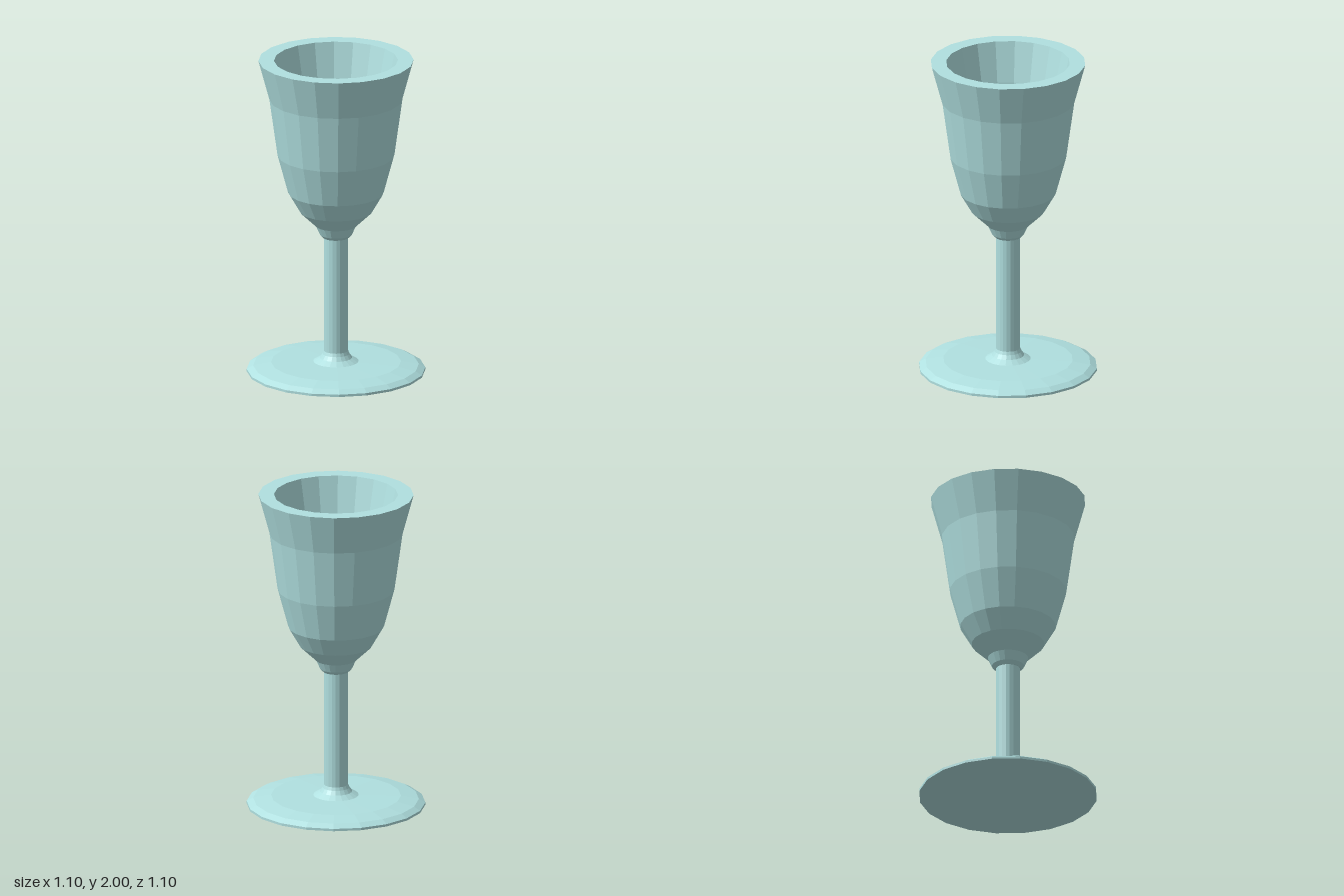
import * as THREE from 'three';

const SIDES = 20;

export function createModel() {
  const goblet = new THREE.Group();
  goblet.name = 'goblet';
  const material = new THREE.MeshStandardMaterial({ color: 0xb0e0e0, flatShading: true });

  // Faceted solid of revolution from [radius, height] pairs, outside listed bottom to top
  const turned = (name, profile) => {
    const points = profile.map(([r, y]) => new THREE.Vector2(r, y));
    const mesh = new THREE.Mesh(new THREE.LatheGeometry(points, SIDES), material);
    mesh.name = name;
    goblet.add(mesh);
  };

  // Flat foot with a bevelled edge and a small flare up to the stem
  turned('foot', [
    [0, 0], [0.55, 0], [0.55, 0.015], [0.51, 0.037], [0.4, 0.057],
    [0.14, 0.062], [0.1, 0.085], [0.083, 0.11], [0.075, 0.13],
  ]);

  // Straight stem
  turned('stem', [[0.075, 0.13], [0.075, 0.86]]);

  // Thick-walled bowl: outside, flat rim, then inside down to the floor
  turned('bowl', [
    [0, 0.86], [0.08, 0.86], [0.1, 0.88], [0.125, 0.935], [0.225, 1.03],
    [0.295, 1.15], [0.36, 1.39], [0.41, 1.75], [0.478, 2],
    [0.382, 2], [0.327, 1.75], [0.28, 1.39], [0.23, 1.15],
    [0.18, 1.04], [0.105, 0.95], [0.087, 0.89], [0, 0.89],
  ]);

  return goblet;
}
